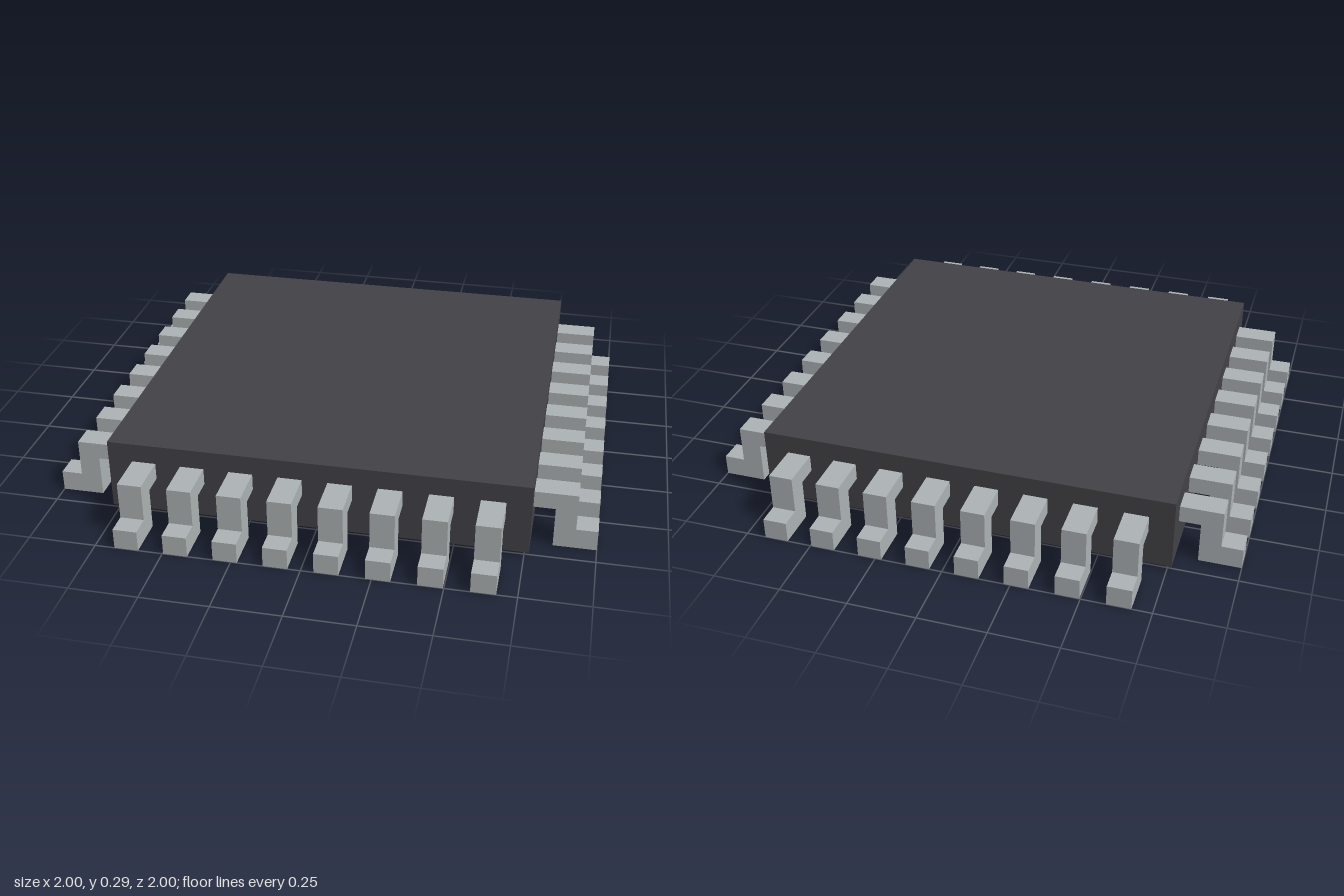
import * as THREE from 'three';

const PINS_PER_SIDE = 8;
const PITCH = 0.181;
const PIN_WIDTH = 0.088;
const BODY_HALF = 0.767;

export function createModel() {
  const model = new THREE.Group();
  model.name = 'microchip';

  const plastic = new THREE.MeshStandardMaterial({ name: 'dark plastic', color: 0x434247 });
  const metal = new THREE.MeshStandardMaterial({ name: 'pin metal', color: 0xaeb4b6 });

  // Square package
  const body = new THREE.Mesh(new THREE.BoxGeometry(BODY_HALF * 2, 0.27, BODY_HALF * 2), plastic);
  body.name = 'body';
  body.position.y = 0.155;
  model.add(body);

  // Stepped pin profile: shoulder, drop and foot, pointing along +x
  const profile = new THREE.Shape([
    [0.76, 0.155], [0.845, 0.155], [0.845, 0], [1, 0],
    [1, 0.078], [0.922, 0.078], [0.922, 0.218], [0.76, 0.218],
  ].map(([x, y]) => new THREE.Vector2(x, y)));
  const pinGeometry = new THREE.ExtrudeGeometry(profile, { depth: PIN_WIDTH, bevelEnabled: false });
  pinGeometry.translate(0, 0, -PIN_WIDTH / 2);

  // One row of pins on each side
  ['left', 'back', 'right', 'front'].forEach((side, s) => {
    const row = new THREE.Group();
    row.name = `${side}Pins`;
    row.rotation.y = s * Math.PI / 2;
    for (let i = 0; i < PINS_PER_SIDE; i++) {
      const pin = new THREE.Mesh(pinGeometry, metal);
      pin.name = `${side}Pin${i + 1}`;
      pin.position.z = (i - (PINS_PER_SIDE - 1) / 2) * PITCH;
      row.add(pin);
    }
    model.add(row);
  });

  return model;
}
